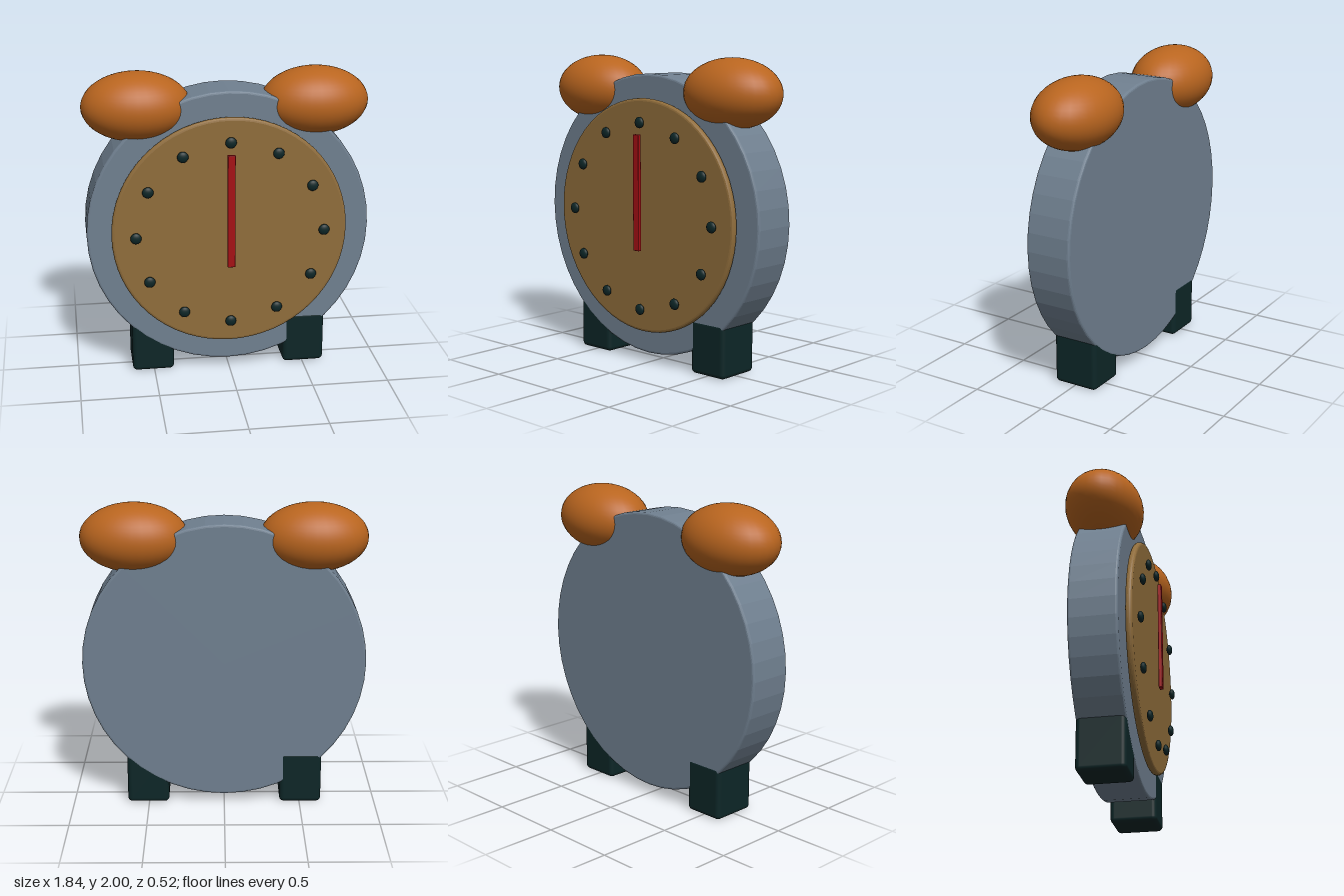
import * as THREE from 'three';
import { RoundedBoxGeometry } from 'three/addons/geometries/RoundedBoxGeometry.js';
import { toCreasedNormals } from 'three/addons/utils/BufferGeometryUtils.js';

const CENTER_Y = 0.976;

function makeMaterial(name, color) {
  const m = new THREE.MeshStandardMaterial({ color });
  m.name = name;
  return m;
}

// Disc facing z with rounded rims, running from zBack to zFront
function discGeometry(radius, zBack, zFront, bevel, segments) {
  const points = [new THREE.Vector2(0, zBack)];
  for (let i = 0; i <= 3; i++) {
    const a = (i / 3) * Math.PI / 2;
    points.push(new THREE.Vector2(radius - bevel + bevel * Math.sin(a), zBack + bevel - bevel * Math.cos(a)));
  }
  for (let i = 0; i <= 3; i++) {
    const a = (i / 3) * Math.PI / 2;
    points.push(new THREE.Vector2(radius - bevel + bevel * Math.cos(a), zFront - bevel + bevel * Math.sin(a)));
  }
  points.push(new THREE.Vector2(0, zFront));
  const g = new THREE.LatheGeometry(points, segments);
  g.rotateX(Math.PI / 2);
  return toCreasedNormals(g, 0.1);
}

export function createModel() {
  const clock = new THREE.Group();
  clock.name = 'alarmClock';

  const slate = makeMaterial('slate grey', 0x708090);
  const copper = makeMaterial('copper orange', 0xb9651f);
  const brass = makeMaterial('brass brown', 0x906d3b);
  const dark = makeMaterial('dark green black', 0x0d2627);
  const red = makeMaterial('hand red', 0xa50f14);

  function add(name, geometry, material, x, y, z) {
    const mesh = new THREE.Mesh(geometry, material);
    mesh.name = name;
    mesh.position.set(x, y, z);
    clock.add(mesh);
    return mesh;
  }

  // Case and dial
  add('body', discGeometry(0.915, -0.163, 0.143, 0.015, 48), slate, 0, CENTER_Y, 0);
  add('dial', discGeometry(0.76, 0.156, 0.2, 0.018, 64), brass, 0, CENTER_Y, 0);

  // Bells and feet; the feet sit almost flush with the case
  const bell = new THREE.SphereGeometry(1, 32, 24);
  const foot = new RoundedBoxGeometry(0.275, 0.355, 0.306, 4, 0.03);
  for (const [side, s] of [['left', 1], ['right', -1]]) {
    add(side + 'Bell', bell, copper, s * 0.572, 1.779, -0.01).scale.set(0.347, 0.221, 0.247);
    add(side + 'Foot', foot, dark, s * 0.505, 0.1775, -0.01 + s * 0.0015);
  }

  // Hour markers
  const marker = new THREE.SphereGeometry(1, 16, 12);
  for (let i = 0; i < 12; i++) {
    const a = (i / 12) * Math.PI * 2;
    add('hourMarker' + (i + 1), marker, dark, Math.sin(a) * 0.607, CENTER_Y + Math.cos(a) * 0.607, 0.226)
      .scale.set(0.036, 0.036, 0.019);
  }

  // Hand
  add('hand', new RoundedBoxGeometry(0.05, 0.75, 0.025, 2, 0.005), red, 0, 1.134, 0.248);

  return clock;
}
